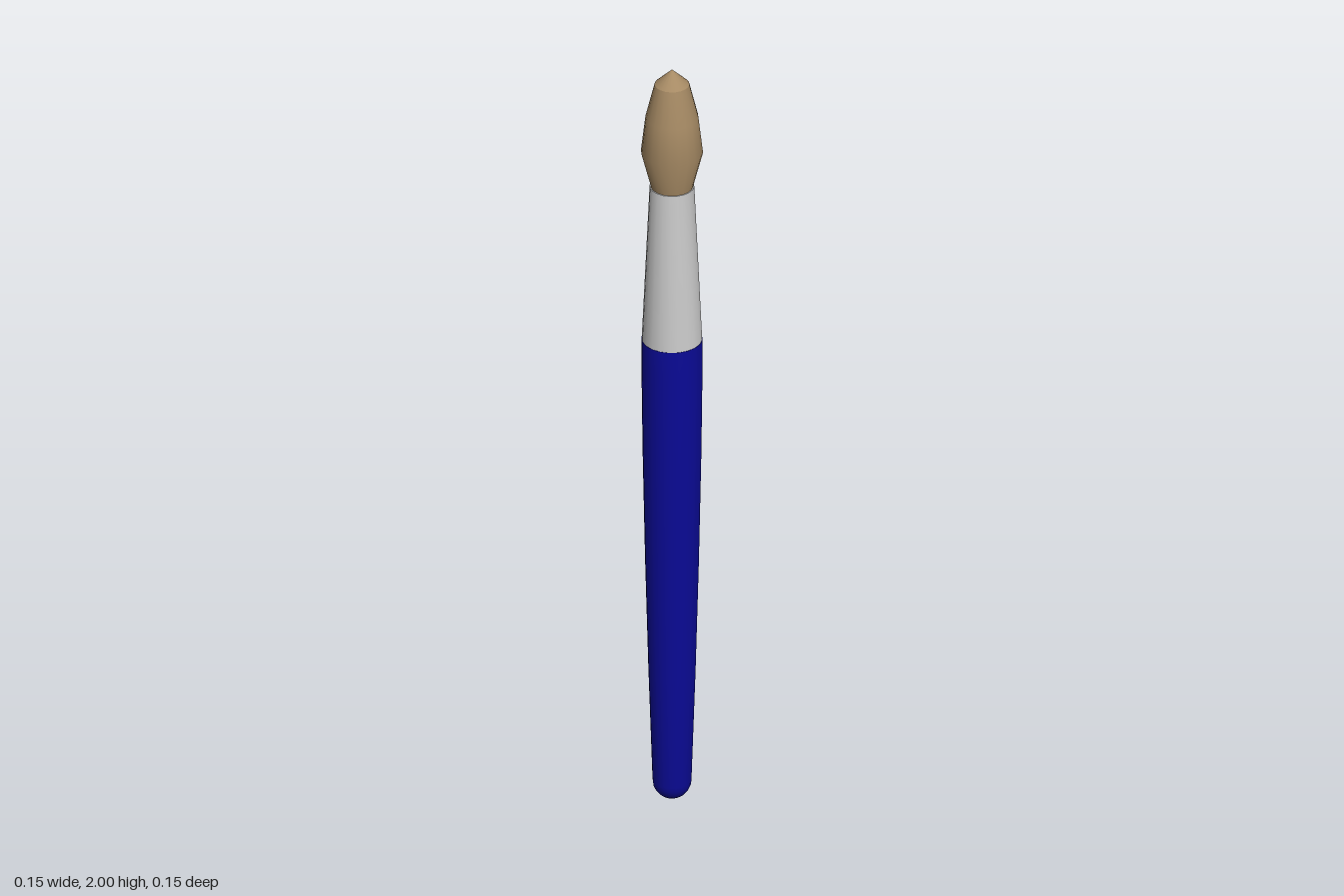
import * as THREE from 'three';
import { toCreasedNormals } from 'three/addons/utils/BufferGeometryUtils.js';

const SIDES = 20;

// Turned part from a bottom-to-top profile of [radius, height] points
function turned(name, color, profile) {
  const points = profile.map(([r, y]) => new THREE.Vector2(r, y));
  const geometry = toCreasedNormals(new THREE.LatheGeometry(points, SIDES), 0.55);
  const mesh = new THREE.Mesh(geometry, new THREE.MeshStandardMaterial({ color }));
  mesh.name = name;
  return mesh;
}

export function createModel() {
  const brush = new THREE.Group();
  brush.name = 'paintbrush';

  // Rounded butt end, then a gently swelling handle
  const handleProfile = [];
  const buttRadius = 0.047;
  for (let i = 0; i <= 6; i++) {
    const a = (i / 6) * Math.PI / 2;
    handleProfile.push([buttRadius * Math.sin(a), buttRadius * (1 - Math.cos(a))]);
  }
  handleProfile.push([0.057, 0.35], [0.065, 0.65], [0.071, 0.95], [0.074, 1.2], [0.074, 1.26], [0, 1.26]);
  brush.add(turned('handle', 0x0a0a96, handleProfile));

  // Tapered metal sleeve holding the bristles
  brush.add(turned('ferrule', 0xcccccc, [[0, 1.26], [0.073, 1.26], [0.054, 1.68], [0, 1.68]]));

  // Bulging bristles with a short conical tip
  brush.add(turned('bristles', 0xa68a64, [
    [0, 1.67], [0.05, 1.67], [0.052, 1.685], [0.075, 1.775],
    [0.064, 1.87], [0.042, 1.96], [0, 2],
  ]));

  return brush;
}
